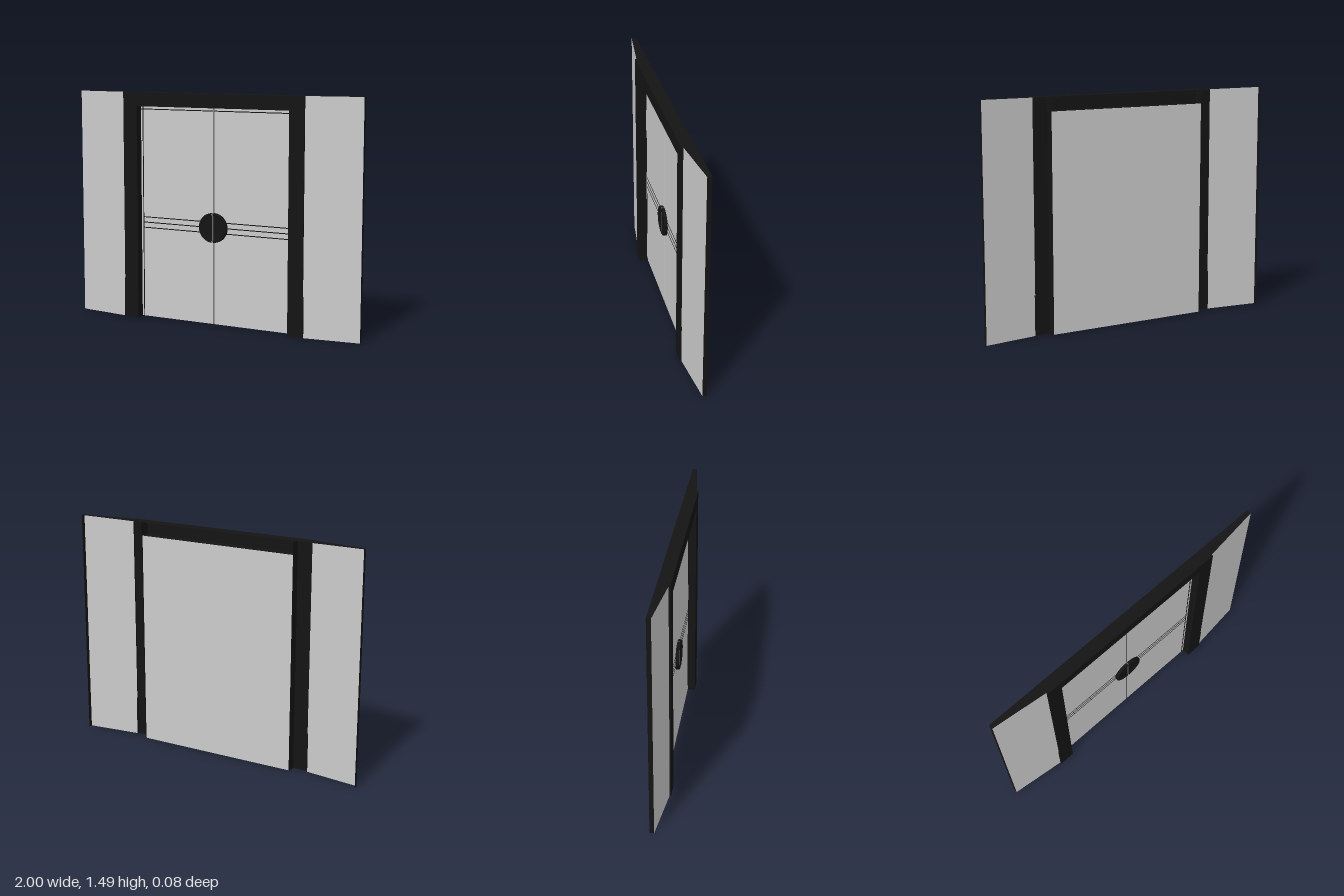
import * as THREE from 'three';

const grey = new THREE.MeshStandardMaterial({ color: 0xcccccc, side: THREE.DoubleSide });
const black = new THREE.MeshStandardMaterial({ color: 0x141414, side: THREE.DoubleSide });
const seamGrey = new THREE.MeshStandardMaterial({ color: 0x666666 });

const H = 1.49;                    // overall height
const FRONT = 0.04, BACK = -0.04;  // depth limits
const OUT = 0.64, IN = 0.54;       // jamb edges
const HEAD = 1.4;                  // underside of header

export function createModel() {
  const model = new THREE.Group();

  const add = (name, geometry, material, parent = model) => {
    const mesh = new THREE.Mesh(geometry, material);
    mesh.name = name;
    parent.add(mesh);
    return mesh;
  };
  const box = (name, x0, x1, y0, y1, z0, z1, material, parent) =>
    add(name, new THREE.BoxGeometry(Math.abs(x1 - x0), y1 - y0, z1 - z0), material, parent)
      .position.set((x0 + x1) / 2, (y0 + y1) / 2, (z0 + z1) / 2);
  // upright sheet between two plan points (x, z)
  const sheet = (name, [xa, za], [xb, zb], y0, y1, material, parent) => {
    const g = new THREE.BufferGeometry();
    g.setAttribute('position', new THREE.Float32BufferAttribute(
      [xa, y0, za, xb, y0, zb, xb, y1, zb, xa, y1, za], 3));
    g.setIndex([0, 1, 2, 0, 2, 3]);
    g.computeVertexNormals();
    return add(name, g, material, parent);
  };

  // Frame front: an upside-down U, open behind
  const u = [[-OUT, 0], [-IN, 0], [-IN, HEAD], [IN, HEAD], [IN, 0], [OUT, 0], [OUT, H], [-OUT, H]];
  const face = new THREE.Shape(u.map(([x, y]) => new THREE.Vector2(x, y)));
  add('frameFront', new THREE.ShapeGeometry(face).translate(0, 0, FRONT), black);

  // Flat cap over frame and tapered wings
  const plan = [[-1, BACK], [1, BACK], [1, -0.012], [OUT, 0.03], [OUT, FRONT],
    [-OUT, FRONT], [-OUT, 0.03], [-1, -0.012]];
  const cap = new THREE.Shape(plan.map(([x, z]) => new THREE.Vector2(x, -z)));
  add('topCap', new THREE.ShapeGeometry(cap).rotateX(-Math.PI / 2).translate(0, H, 0), black);

  // Soffit under the header
  const soffit = new THREE.PlaneGeometry(2 * IN, 0.065).rotateX(Math.PI / 2);
  add('headerSoffit', soffit.translate(0, HEAD, 0.0075), black);

  // Jamb returns and wings on both sides
  for (const s of [1, -1]) {
    const side = new THREE.Group();
    side.name = s > 0 ? 'leftSide' : 'rightSide';
    model.add(side);
    sheet('jambReveal', [s * IN, FRONT], [s * IN, -0.025], 0, H, black, side);
    sheet('jambOuterEdge', [s * OUT, 0.03], [s * OUT, FRONT], 0, H, black, side);
    box('jambPlinth', s * (OUT - 0.005), s * (OUT + 0.004), 0, 0.26, 0.028, FRONT, black, side);
    sheet('wingPanel', [s * OUT, 0.03], [s, -0.012], 0, H, grey, side);
    sheet('wingEnd', [s, -0.012], [s, BACK], 0, H, black, side);
  }

  // Sliding double door: shared backing with two leaves in front
  const door = new THREE.Group();
  door.name = 'door';
  model.add(door);
  box('doorBacking', -IN + 0.002, IN - 0.002, 0.005, HEAD - 0.002, -0.02, -0.014, grey, door);
  box('doorSeam', -0.006, 0.006, 0.005, HEAD - 0.002, -0.014, -0.011, seamGrey, door);
  const Z = -0.009;
  for (const s of [1, -1]) {
    const leaf = new THREE.Group();
    leaf.name = s > 0 ? 'leftLeaf' : 'rightLeaf';
    door.add(leaf);
    box('leafPanel', s * 0.005, s * (IN - 0.004), 0.008, HEAD - 0.003, -0.014, Z, grey, leaf);
    // dark trim lines
    for (const y of [0.602, 0.637, 0.672])
      box('crossLine', s * 0.006, s * 0.52, y - 0.003, y + 0.003, Z - 0.002, Z + 0.001, black, leaf);
    box('edgeLine', s * 0.518, s * 0.524, 0.008, HEAD - 0.003, Z - 0.002, Z + 0.001, black, leaf);
    box('topLine', s * 0.006, s * 0.535, 1.377, 1.383, Z - 0.002, Z + 0.001, black, leaf);

    // Half of the round lock plate, with a raised rim
    const profile = [[0, 0.006], [0.078, 0.006], [0.082, 0.013], [0.09, 0.013], [0.095, 0.009], [0.095, Z]]
      .map(([r, z]) => new THREE.Vector2(r, z));
    const half = new THREE.LatheGeometry(profile, 16, s > 0 ? 0 : Math.PI, Math.PI)
      .rotateX(Math.PI / 2).translate(s * 0.004, 0, 0);
    add('lockPlate', half, black, leaf).position.y = 0.637;
  }
  box('lockSeam', -0.004, 0.004, 0.637 - 0.094, 0.637 + 0.094, -0.012, 0.007, seamGrey, door);

  return model;
}
